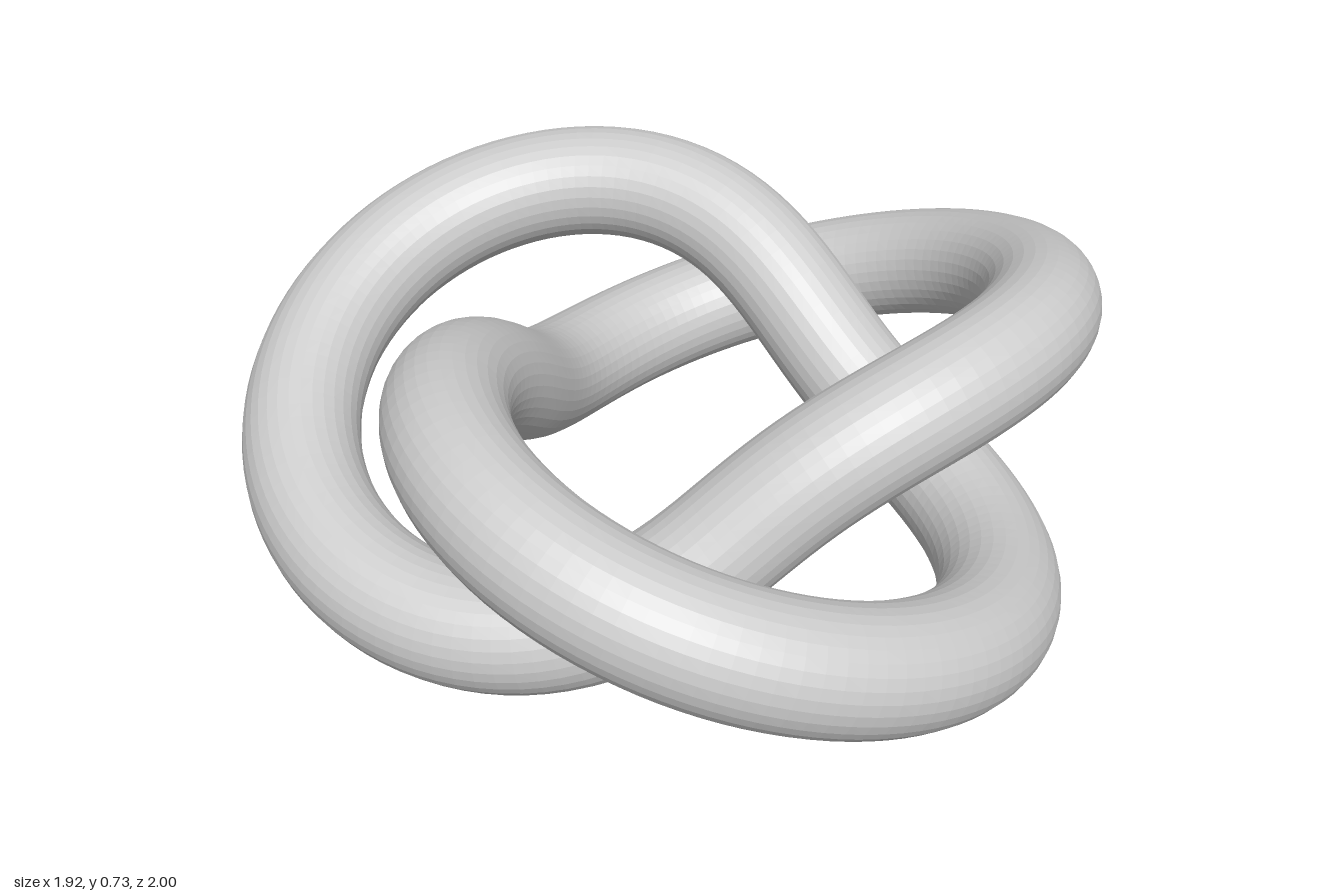
import * as THREE from 'three';

const RING = 0.678;   // mean radius of the winding
const SWING = 0.232;  // radial and vertical swing about that ring
const TUBE = 0.134;   // rope radius
const SHIFT = 0.082;  // centres the three lobes on x = 0

// Three-lobed closed knot: two turns around, three swings in and out
class KnotCurve extends THREE.Curve {
  getPoint(t, target = new THREE.Vector3()) {
    const u = t * Math.PI * 4;
    const r = RING + SWING * Math.cos(1.5 * u);
    return target.set(
      r * Math.cos(u) - SHIFT,
      SWING * Math.sin(1.5 * u) + SWING + TUBE,
      r * Math.sin(u)
    );
  }
}

export function createModel() {
  const group = new THREE.Group();
  group.name = 'trefoilKnot';

  const grey = new THREE.MeshStandardMaterial({ color: 0xcccccc, flatShading: true });
  grey.name = 'light grey';

  // Round rope swept along the knot
  const rope = new THREE.Mesh(new THREE.TubeGeometry(new KnotCurve(), 256, TUBE, 32, true), grey);
  rope.name = 'knotTube';
  group.add(rope);
  return group;
}
